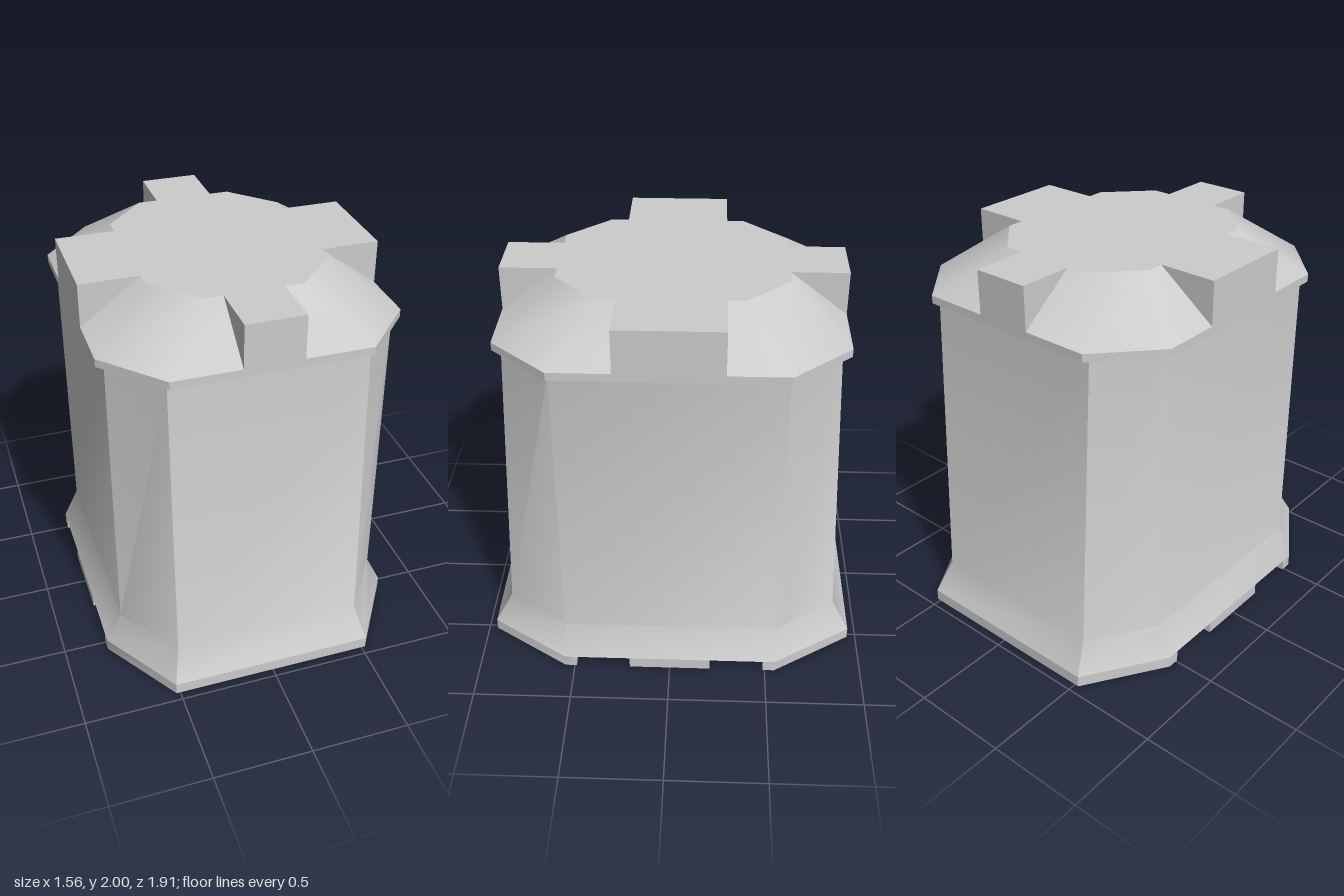
import * as THREE from 'three';
import { toCreasedNormals } from 'three/addons/utils/BufferGeometryUtils.js';

const material = new THREE.MeshStandardMaterial({ color: 0xcccccc });

// Chamfered rectangle: half sizes x, z; chamfer corners at (x, cz) and (cx, z)
const octagon = (x, z, cx, cz) => [
  [x, cz], [cx, z], [-cx, z], [-x, cz],
  [-x, -cz], [-cx, -z], [cx, -z], [x, -cz],
];

// Skin a stack of [y, outline] rings, listed bottom to top
function loft(rings, capTop = true) {
  const pos = [], index = [], n = rings[0][1].length;
  for (const [y, outline] of rings) for (const [x, z] of outline) pos.push(x, y, z);
  for (let r = 0; r < rings.length - 1; r++) {
    for (let i = 0; i < n; i++) {
      const j = (i + 1) % n, a = r * n + i, b = r * n + j;
      index.push(a, a + n, b, b, a + n, b + n);
    }
  }
  const cap = (r, up) => {
    const [y, outline] = rings[r], c = pos.length / 3;
    const mean = (k) => outline.reduce((s, p) => s + p[k], 0) / n;
    pos.push(mean(0), y, mean(1));
    for (let i = 0; i < n; i++) {
      const a = r * n + i, b = r * n + (i + 1) % n;
      index.push(c, up ? b : a, up ? a : b);
    }
  };
  cap(0, false);
  if (capTop) cap(rings.length - 1, true);
  const geometry = new THREE.BufferGeometry();
  geometry.setAttribute('position', new THREE.Float32BufferAttribute(pos, 3));
  geometry.setIndex(index);
  return toCreasedNormals(geometry, 0.7);
}

export function createModel() {
  const model = new THREE.Group();
  const add = (name, geometry) => {
    const mesh = new THREE.Mesh(geometry, material);
    mesh.name = name;
    model.add(mesh);
    return mesh;
  };

  // Tapered body with a flared skirt
  add('body', loft([
    [0.06, octagon(0.78, 0.955, 0.52, 0.55)],
    [0.22, octagon(0.70, 0.865, 0.48, 0.55)],
    [1.74, octagon(0.70, 0.79, 0.48, 0.545)],
  ]));

  // Feet, separated by two grooves running across the underside
  const foot = [[0.78, 0.49], [0.78, 0.55], [0.52, 0.955], [-0.52, 0.955], [-0.78, 0.55], [-0.78, 0.49]];
  add('frontFoot', loft([[0, foot], [0.06, foot]]));
  add('backFoot', loft([[0, foot], [0.06, foot]])).rotation.y = Math.PI;
  add('middleFoot', new THREE.BoxGeometry(1.56, 0.06, 0.42)).position.y = 0.03;

  // Lid: thin rim, then slopes rising to the plateau
  const rim = octagon(0.74, 0.835, 0.48, 0.55);
  add('lid', loft([
    [1.74, rim],
    [1.78, rim],
    [2, octagon(0.445, 0.555, 0.24, 0.34)],
  ], false));

  // Plateau with four arms reaching the rim, mirrored from one quadrant
  const quadrant = [[0.74, 0.255], [0.445, 0.255], [0.445, 0.34], [0.24, 0.555], [0.145, 0.555], [0.145, 0.835]];
  const mirror = (sx, sy) => quadrant.map(([x, y]) => new THREE.Vector2(x * sx, y * sy));
  const outline = [
    ...mirror(1, 1), ...mirror(-1, 1).reverse(),
    ...mirror(-1, -1), ...mirror(1, -1).reverse(),
  ];
  const cross = new THREE.ExtrudeGeometry(new THREE.Shape(outline), { depth: 0.22, bevelEnabled: false });
  cross.rotateX(-Math.PI / 2);
  add('lidCross', cross).position.y = 1.78;

  return model;
}
